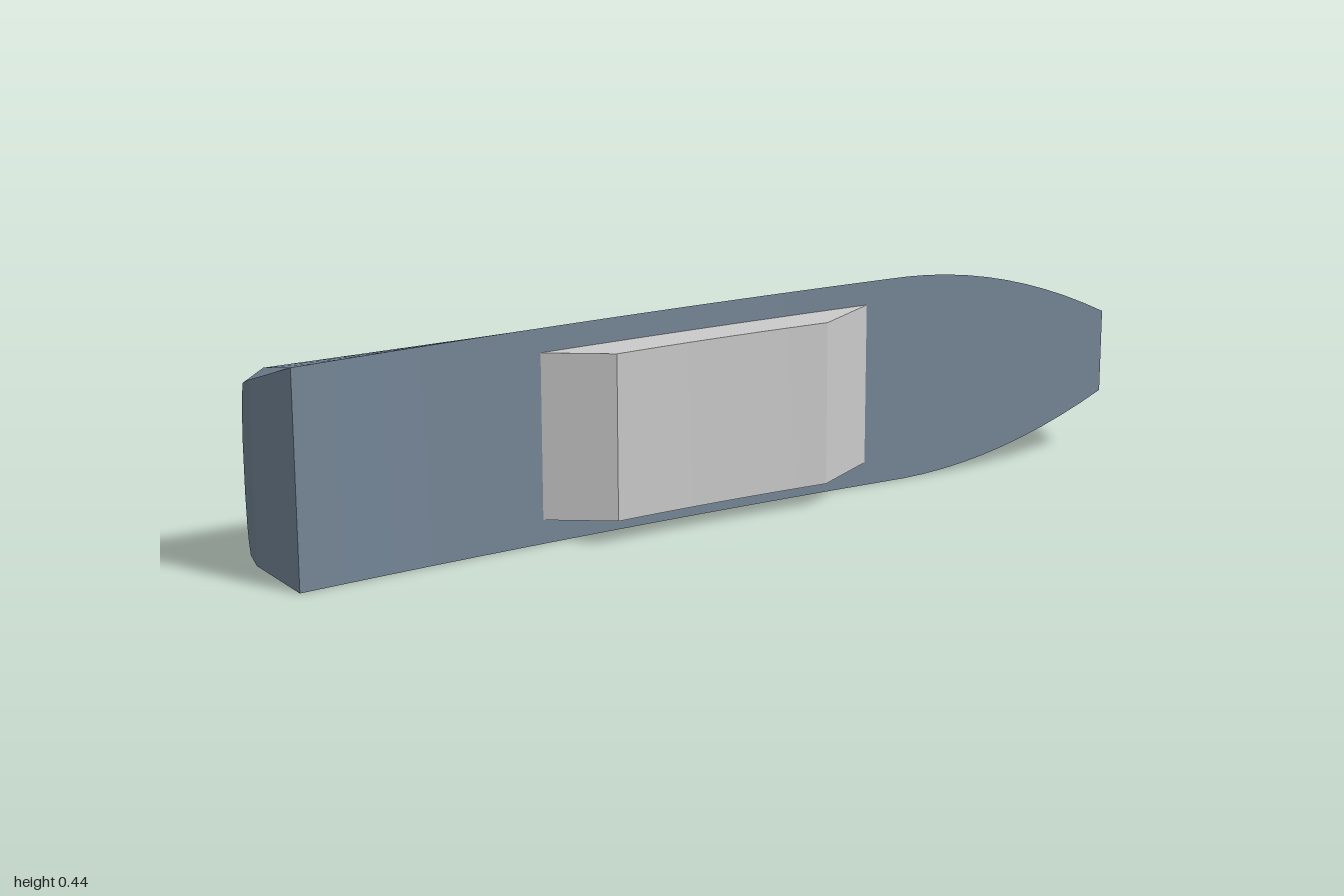
import * as THREE from 'three';
import { toCreasedNormals } from 'three/addons/utils/BufferGeometryUtils.js';

const MID = 0.2225; // half of the full height

// One ring of the bar: front half-height, front z, back half-height, shoulder z, back z
function ring(x, h, zf, hb, zs, zb) {
  const d = zb - zs;
  const half = [[h, zf], [hb, zs], [hb * 0.86, zs + d * 0.45], [hb * 0.67, zs + d * 0.75], [hb * 0.3, zb]];
  const lower = half.map(([y, z]) => [-y, z]).reverse();
  return [...half, ...lower].map(([y, z]) => [x, MID + y, z]);
}

// Skin a row of rings and close both ends
function loft(rings) {
  const n = rings[0].length, index = [];
  const at = (i, j) => i * n + (j % n);
  for (let i = 0; i < rings.length - 1; i++) {
    for (let j = 0; j < n; j++) {
      index.push(at(i, j), at(i + 1, j), at(i, j + 1));
      index.push(at(i + 1, j), at(i + 1, j + 1), at(i, j + 1));
    }
  }
  const last = rings.length - 1;
  for (let j = 1; j < n - 1; j++) {
    index.push(at(0, 0), at(0, j), at(0, j + 1));
    index.push(at(last, 0), at(last, j + 1), at(last, j));
  }
  const g = new THREE.BufferGeometry();
  g.setAttribute('position', new THREE.Float32BufferAttribute(rings.flat(2), 3));
  g.setIndex(index);
  return toCreasedNormals(g, 0.35);
}

function makeBar() {
  const rings = [ring(-1, 0.185, -0.03, 0.172, -0.06, -0.075)]; // bevelled square end
  const steps = 38;
  for (let i = 0; i <= steps; i++) {
    const x = -0.95 + (1.9 * i) / steps;
    const t = Math.max(0, (x - 0.43) / 0.52);
    const h = MID - 0.1325 * t * t;               // narrows toward the nose
    const front = 0.024 + 0.034 * (x / 0.95) ** 2; // hollow front face
    rings.push(ring(x, h, front, h - 0.0325, -0.08, -0.112));
  }
  rings.push(ring(1, 0.055, -0.028, 0.046, -0.053, -0.061)); // bevelled nose
  return loft(rings);
}

function makePad() {
  // Plan outline: sloped ends and a slightly hollow front
  const s = new THREE.Shape();
  s.moveTo(-0.44, 0.015);
  s.lineTo(-0.415, 0.031);
  s.lineTo(-0.29, 0.113);
  s.quadraticCurveTo(-0.045, 0.102, 0.2, 0.113);
  s.lineTo(0.35, 0.029);
  s.lineTo(0.375, 0.015);
  s.closePath();
  const g = new THREE.ExtrudeGeometry(s, { depth: 0.345, bevelEnabled: false, curveSegments: 10 });
  g.rotateX(Math.PI / 2);
  g.translate(0, 0.395, 0);
  return toCreasedNormals(g, 0.3);
}

export function createModel() {
  const model = new THREE.Group();
  model.name = 'taperedBarWithPad';

  const bar = new THREE.Mesh(makeBar(), new THREE.MeshStandardMaterial({ color: 0x778899 }));
  bar.name = 'taperedBar';

  const pad = new THREE.Mesh(makePad(), new THREE.MeshStandardMaterial({ color: 0xcccccc }));
  pad.name = 'frontPad';

  model.add(bar, pad);
  return model;
}
